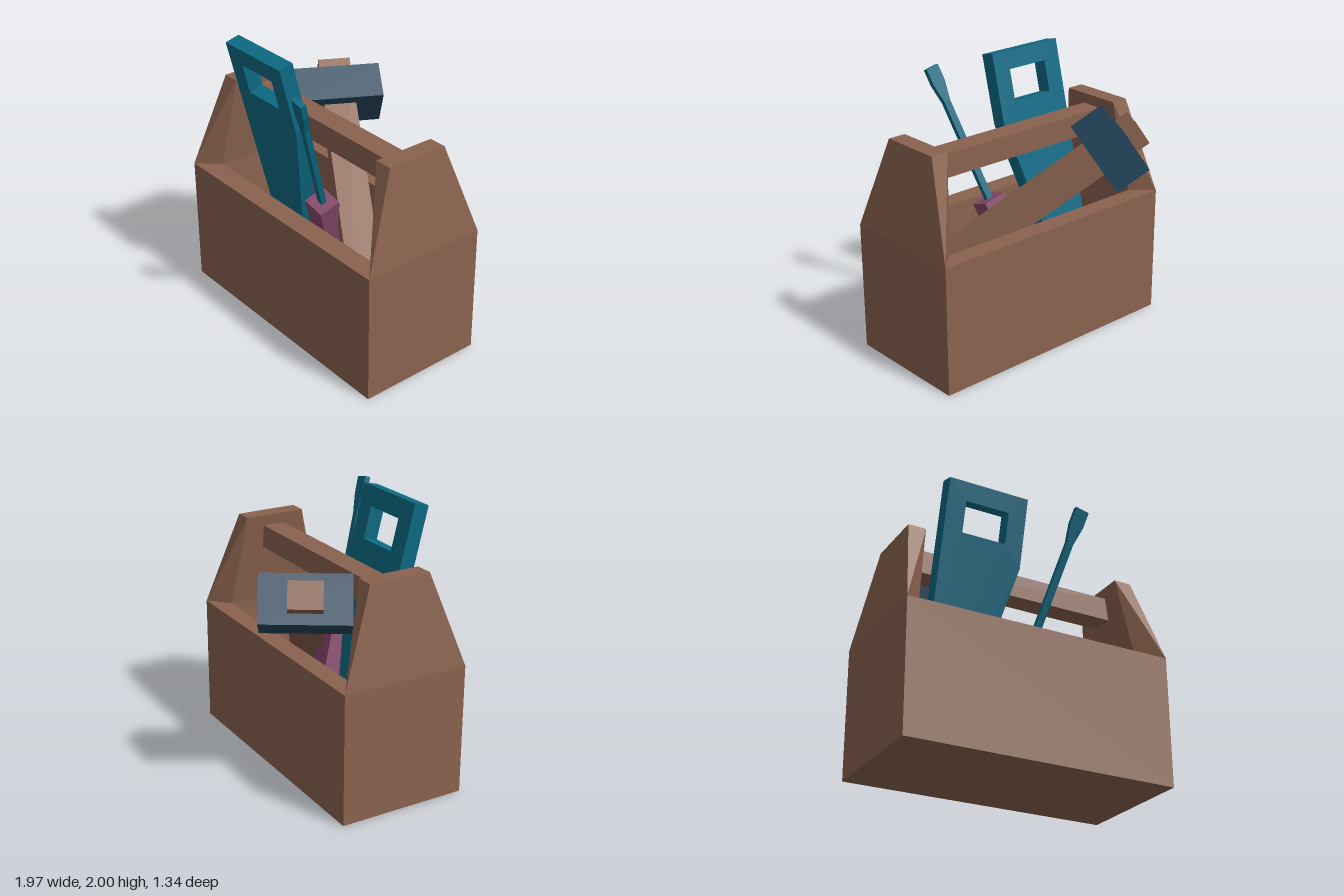
import * as THREE from 'three';
import { ConvexGeometry } from 'three/addons/geometries/ConvexGeometry.js';

const paint = (name, color) => {
  const m = new THREE.MeshStandardMaterial({ color });
  m.name = name;
  return m;
};
const v = (x, y, z) => new THREE.Vector3(x, y, z);

export function createModel() {
  const wood = paint('brown wood', 0x8a624e);
  const teal = paint('teal metal', 0x0c6a84);
  const navy = paint('dark blue steel', 0x25465e);
  const plum = paint('plum grip', 0x85496a);

  const root = new THREE.Group();
  root.name = 'toolbox';
  const add = (name, geometry, material, parent = root) => {
    const m = new THREE.Mesh(geometry, material);
    m.name = name;
    parent.add(m);
    return m;
  };
  const box = (name, size, pos, material, parent) => {
    const m = add(name, new THREE.BoxGeometry(...size), material, parent);
    m.position.set(...pos);
    return m;
  };
  const rect = (S, x0, y0, x1, y1) => {
    const s = new S();
    s.moveTo(x0, y0); s.lineTo(x1, y0); s.lineTo(x1, y1); s.lineTo(x0, y1);
    s.closePath();
    return s;
  };
  // group whose local axes follow the given directions
  const frame = (name, origin, x, y) => {
    const g = new THREE.Group();
    g.name = name;
    const Y = y.clone().normalize();
    const Z = x.clone().cross(Y).normalize();
    const X = Y.clone().cross(Z);
    g.quaternion.setFromRotationMatrix(new THREE.Matrix4().makeBasis(X, Y, Z));
    g.position.copy(origin);
    root.add(g);
    return g;
  };

  // Open tray: four walls and a floor
  const walls = rect(THREE.Shape, -0.985, -0.63, 0.985, 0.31);
  walls.holes.push(rect(THREE.Path, -0.84, -0.48, 0.84, 0.17));
  const wallGeo = new THREE.ExtrudeGeometry(walls, { depth: 0.94, bevelEnabled: false });
  wallGeo.rotateX(-Math.PI / 2);
  add('trayWalls', wallGeo, wood);
  box('trayFloor', [1.69, 0.14, 0.66], [0, 0.07, 0.155], wood);

  // Tapered end boards with mitred feet
  for (const s of [1, -1]) {
    const pts = [
      v(s * 0.985, 0.94, -0.31), v(s * 0.985, 0.94, 0.63),
      v(s * 0.84, 0.94, -0.17), v(s * 0.84, 0.94, 0.48),
      v(s * 0.885, 1.61, -0.07), v(s * 0.885, 1.61, 0.385),
      v(s * 0.755, 1.61, -0.07), v(s * 0.755, 1.61, 0.385),
    ];
    add(s > 0 ? 'leftEndBoard' : 'rightEndBoard', new ConvexGeometry(pts), wood);
  }
  box('carryRail', [1.62, 0.17, 0.165], [0, 1.445, 0.153], wood);

  // Saw: tapering plate with a grip hole, leaning forward
  const plate = new THREE.Shape();
  [[-0.65, 0], [-0.65, -1.87], [-0.4, -1.87], [-0.045, -0.505], [-0.045, 0]]
    .forEach(([x, y], i) => (i ? plate.lineTo(x, y) : plate.moveTo(x, y)));
  plate.closePath();
  plate.holes.push(rect(THREE.Path, -0.51, -0.36, -0.18, -0.135));
  const saw = add('saw', new THREE.ExtrudeGeometry(plate, { depth: 0.11, bevelEnabled: false }), teal);
  saw.position.set(0, 2, 0.42);
  saw.rotation.x = 0.245;

  // Hammer: local y runs along the shaft, local x along the head
  const hammer = frame('hammer', v(-0.4875, 1.395, -0.305), v(-0.525, 0, 0.85), v(0.72, -0.555, 0.425));
  box('hammerHead', [0.61, 0.27, 0.34], [0, 0, 0], navy, hammer);
  box('hammerHandle', [0.23, 1.995, 0.19], [0, 0.7525, 0], wood, hammer);

  // Screwdriver: local y runs from grip to tip
  const driver = frame('screwdriver', v(0.1, 0.99, 0.305), v(1, -0.23, 0), v(0.22, 0.95, 0.35));
  box('screwdriverGrip', [0.178, 0.9, 0.16], [0, -0.45, 0], plum, driver);
  box('screwdriverShaft', [0.05, 0.77, 0.04], [0, 0.385, 0], teal, driver);
  const blade = new THREE.Shape();
  [[-0.025, 0.76], [0.025, 0.76], [0.05, 0.9], [0.05, 1.02], [-0.05, 1.02], [-0.05, 0.9]]
    .forEach(([x, y], i) => (i ? blade.lineTo(x, y) : blade.moveTo(x, y)));
  blade.closePath();
  const bladeGeo = new THREE.ExtrudeGeometry(blade, { depth: 0.042, bevelEnabled: false });
  bladeGeo.translate(0, 0, -0.021);
  add('screwdriverTip', bladeGeo, teal, driver);

  return root;
}
